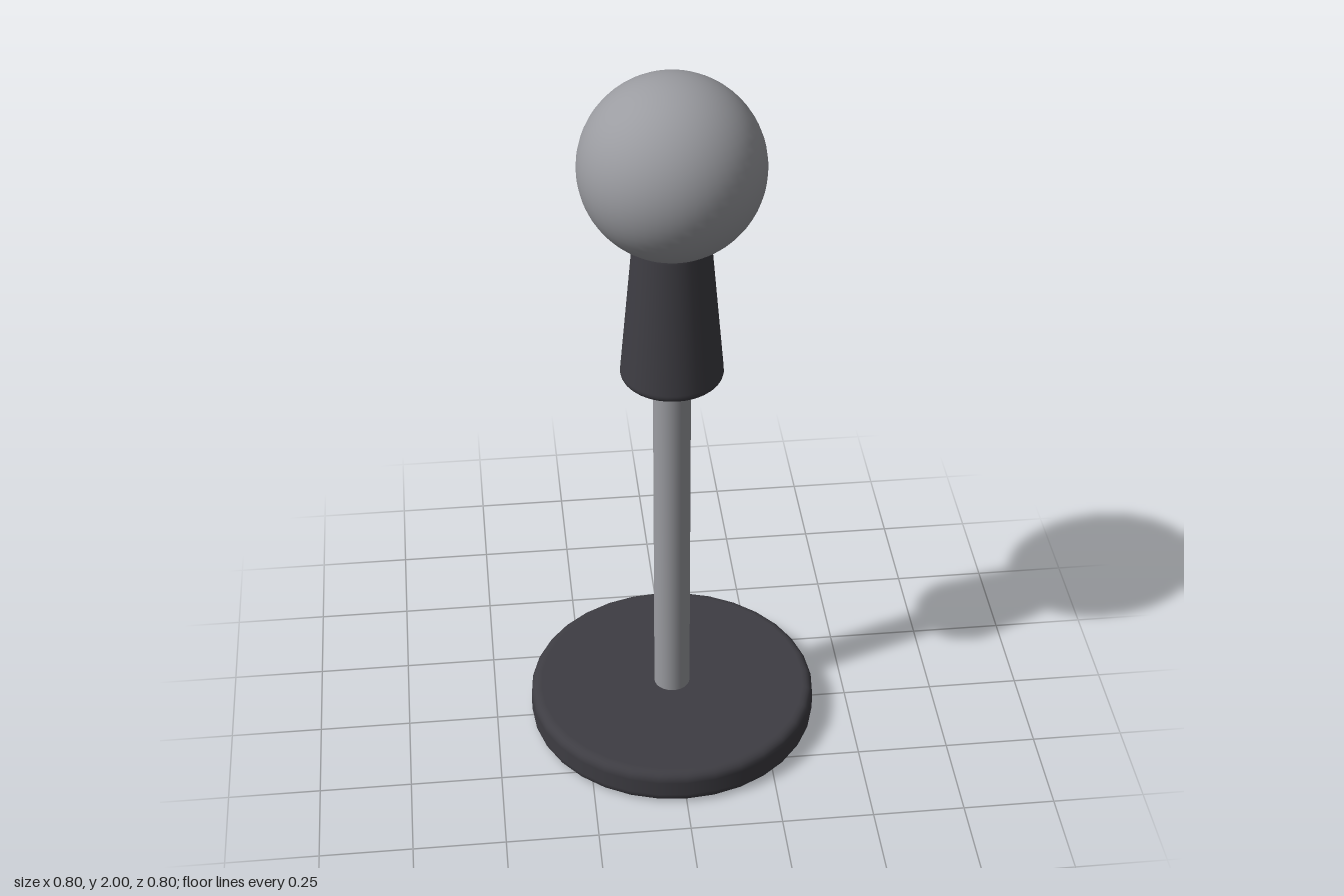
import * as THREE from 'three';

const SIDES = 32;

// Solid of revolution with rounded bottom and top rims.
function roundedSolid(y0, y1, r0, r1, bevel0, bevel1) {
  const pts = [new THREE.Vector2(0, y0)];
  const steps = 5;
  const flat = 0.004; // supporting loop that keeps the caps and wall flat
  const lean = (r1 - r0) / (y1 - y0);
  pts.push(new THREE.Vector2(r0 - bevel0 - flat, y0));
  for (let i = 0; i <= steps; i++) {
    const a = (i / steps) * Math.PI / 2;
    const h = bevel0 * (1 - Math.cos(a));
    pts.push(new THREE.Vector2(r0 + lean * h - bevel0 * (1 - Math.sin(a)), y0 + h));
  }
  pts.push(new THREE.Vector2(r0 + lean * (bevel0 + flat), y0 + bevel0 + flat));
  pts.push(new THREE.Vector2(r1 - lean * (bevel1 + flat), y1 - bevel1 - flat));
  for (let i = 0; i <= steps; i++) {
    const a = (i / steps) * Math.PI / 2;
    const h = bevel1 * (1 - Math.sin(a));
    pts.push(new THREE.Vector2(r1 - lean * h - bevel1 * (1 - Math.cos(a)), y1 - h));
  }
  pts.push(new THREE.Vector2(r1 - bevel1 - flat, y1));
  pts.push(new THREE.Vector2(0, y1));
  return new THREE.LatheGeometry(pts, SIDES);
}

export function createModel() {
  const model = new THREE.Group();
  model.name = 'microphoneStand';

  const dark = new THREE.MeshStandardMaterial({ color: 0x3e3d43 });
  dark.name = 'charcoal';
  const grey = new THREE.MeshStandardMaterial({ color: 0x9b9ca1 });
  grey.name = 'metalGrey';

  const add = (name, geometry, material, y = 0) => {
    const mesh = new THREE.Mesh(geometry, material);
    mesh.name = name;
    mesh.position.y = y;
    model.add(mesh);
  };

  // Round foot
  add('base', roundedSolid(0, 0.1, 0.4, 0.4, 0.025, 0.025), dark);

  // Upright pole, sunk into base and handle
  add('pole', new THREE.CylinderGeometry(0.05, 0.05, 1.12, SIDES), grey, 0.64);

  // Handle tapering upward
  add('handle', roundedSolid(1.145, 1.555, 0.137, 0.1, 0.02, 0.01), dark);

  // Ball-shaped head
  add('head', new THREE.SphereGeometry(0.237, 48, 32), grey, 1.763);

  return model;
}
